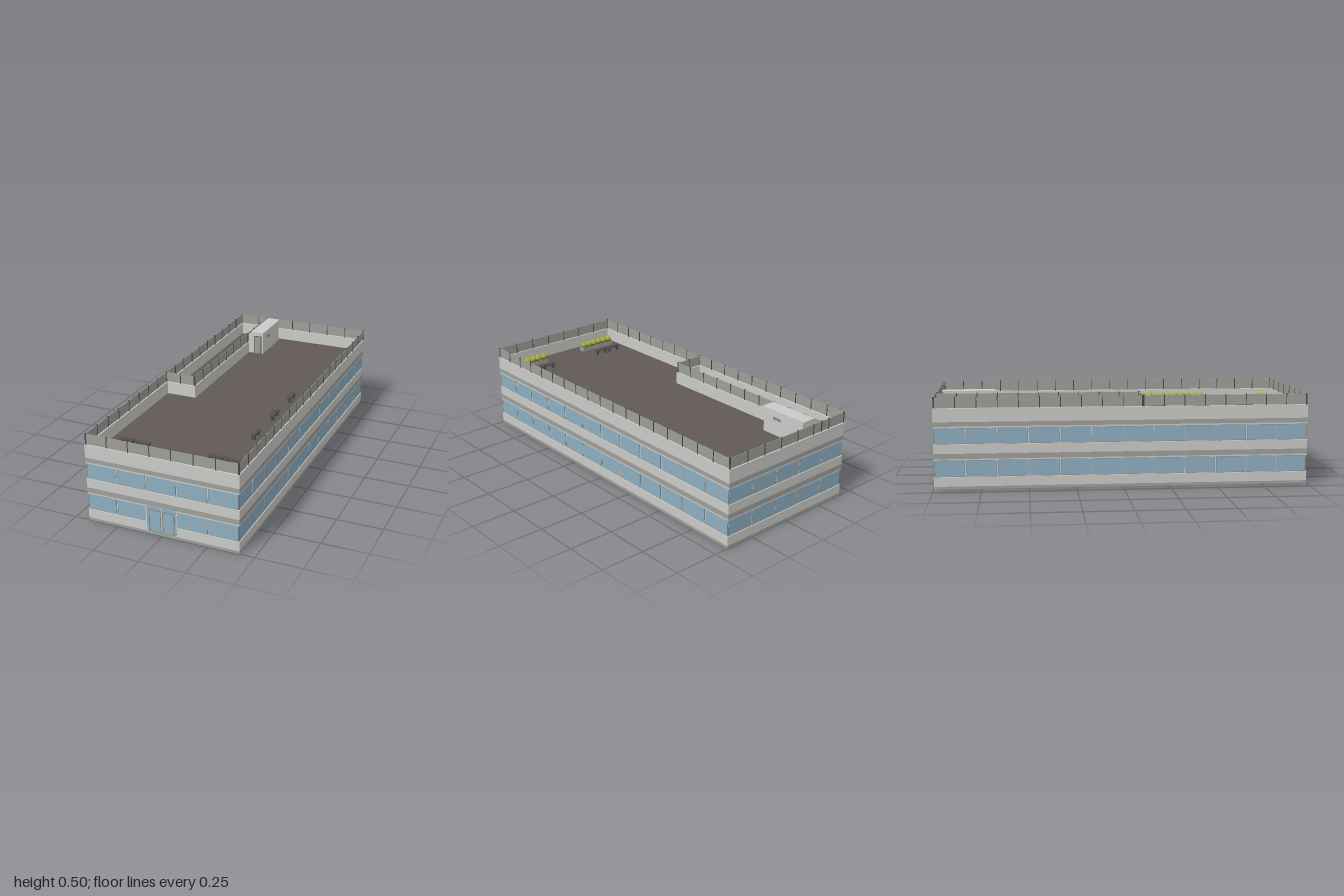
import * as THREE from 'three';

const mat = (name, color, extra = {}) => {
  const m = new THREE.MeshStandardMaterial({ color, ...extra });
  m.name = name;
  return m;
};

export function createModel() {
  const M = {
    wall: mat('light concrete', 0xcacac8),
    band: mat('grey band', 0x9f9f9b),
    glass: mat('blue glass', 0x8eaec0),
    frame: mat('window frame', 0x8c8a86),
    deck: mat('brown roof deck', 0x605955),
    rail: mat('railing panel', 0x9e9e98),
    post: mat('dark metal', 0x4c4a45),
    bench: mat('bench', 0x57514d),
    bush: mat('yellow green leaves', 0xa3ae38, { flatShading: true }),
    soil: mat('dark leaves', 0x5d6420),
  };
  const model = new THREE.Group();
  model.name = 'officeBuilding';

  // Box given by its limits
  const box = (parent, name, m, x0, x1, y0, y1, z0, z1) => {
    const mesh = new THREE.Mesh(new THREE.BoxGeometry(x1 - x0, y1 - y0, z1 - z0), m);
    mesh.position.set((x0 + x1) / 2, (y0 + y1) / 2, (z0 + z1) / 2);
    mesh.name = name;
    parent.add(mesh);
    return mesh;
  };
  const group = (name, parent = model) => {
    const g = new THREE.Group();
    g.name = name;
    parent.add(g);
    return g;
  };

  const W = 0.42, D = 1, DECK = 0.36, TOP = 0.43, T = 0.013;

  // Storey layers: [name, material, bottom, top, inset]
  const body = group('body');
  [
    ['plinth', M.band, 0, 0.015, 0],
    ['lowerWall', M.wall, 0.015, 0.065, 0],
    ['lowerWindowWall', M.wall, 0.065, 0.155, 0.006],
    ['lowerLintel', M.wall, 0.155, 0.162, 0],
    ['lowerBand', M.band, 0.162, 0.19, 0],
    ['upperWall', M.wall, 0.19, 0.24, 0],
    ['upperWindowWall', M.wall, 0.24, 0.326, 0.006],
    ['upperLintel', M.wall, 0.326, 0.334, 0],
    ['upperBand', M.band, 0.334, DECK - 0.002, 0],
  ].forEach(([n, m, y0, y1, i]) => box(body, n, m, -W + i, W - i, y0, y1, -D + i, D - i));
  box(model, 'roofDeck', M.deck, -W + T, W - T, DECK - 0.002, DECK, -D + T, D - T);

  // Parapet
  const parapet = group('parapet');
  for (const s of [-1, 1]) {
    const x = s * (W - T / 2), z = s * (D - T / 2);
    box(parapet, 'sideParapet', M.wall, x - T / 2, x + T / 2, DECK - 0.002, TOP, -D, D);
    box(parapet, 'endParapet', M.wall, -W + T, W - T, DECK - 0.002, TOP, z - T / 2, z + T / 2);
  }

  // Rows of framed windows on each facade
  const windowRow = (g, half, depth, count, y0, y1, skip) => {
    const step = (2 * half) / count;
    for (let i = 0; i < count; i++) {
      if (i === skip) continue;
      const a = -half + i * step + (i ? 0.003 : 0.006);
      const b = -half + (i + 1) * step - (i < count - 1 ? 0.003 : 0.006);
      box(g, 'windowFrame', M.frame, a, b, y0, y1, depth - 0.006, depth - 0.004);
      box(g, 'windowGlass', M.glass, a + 0.0025, b - 0.0025, y0 + 0.002, y1 - 0.002, depth - 0.006, depth - 0.003);
    }
  };
  [['front', W, D, 5, 0, 2], ['back', W, D, 5, Math.PI, -1],
    ['left', D, W, 12, Math.PI / 2, -1], ['right', D, W, 12, -Math.PI / 2, -1],
  ].forEach(([n, half, depth, count, turn, skip]) => {
    const g = group(n + 'Windows');
    windowRow(g, half, depth, count, 0.066, 0.154, skip);
    windowRow(g, half, depth, count, 0.241, 0.325, -1);
    g.rotation.y = turn;
  });

  // Double entrance door
  const door = group('entrance');
  box(door, 'entranceSurround', M.wall, -0.088, 0.088, 0.015, 0.16, D - 0.008, D + 0.0005);
  for (const s of [-1, 1]) {
    const pane = (name, m, a, b, y0, y1, z) =>
      box(door, name, m, Math.min(s * a, s * b), Math.max(s * a, s * b), y0, y1, D - 0.001, D + z);
    pane('entranceGlass', M.glass, 0.003, 0.082, 0.022, 0.161, 0.001);
    pane('doorStile', M.frame, 0.004, 0.008, 0.018, 0.143, 0.003);
    pane('doorStile', M.frame, 0.066, 0.071, 0.018, 0.143, 0.003);
    pane('doorRail', M.frame, 0.008, 0.066, 0.138, 0.143, 0.003);
    pane('doorRail', M.frame, 0.008, 0.066, 0.018, 0.022, 0.003);
  }

  // Panel railing with posts, running between two points on top of a wall
  const railing = (name, x0, z0, x1, z1, count) => {
    const g = group(name);
    const len = Math.hypot(x1 - x0, z1 - z0);
    box(g, 'railPanel', M.rail, 0, len, TOP + 0.002, 0.488, -0.0015, 0.0015);
    for (let i = 0; i <= count; i++) {
      const x = (i * len) / count;
      box(g, 'railPost', M.post, x - 0.002, x + 0.002, TOP - 0.002, 0.491, -0.004, 0.004);
    }
    g.position.set(x0, 0, z0);
    g.rotation.y = -Math.atan2(z1 - z0, x1 - x0);
  };
  const rx = 0.414, rz = 0.993;
  railing('frontRailing', -rx, rz, rx, rz, 7);
  railing('backRailing', -rx, -rz, rx, -rz, 7);
  railing('leftRailing', rx, -rz, rx, rz, 18);
  railing('rightRailing', -rx, -rz, -rx, rz, 18);

  // Walled terrace along the right rear
  const terrace = group('terraceWalls');
  box(terrace, 'terraceSideWall', M.wall, -0.247, -0.234, DECK, TOP, -D + T, 0.11);
  box(terrace, 'terraceEndWall', M.wall, -W + T, -0.247, DECK, TOP, 0.097, 0.11);
  railing('terraceSideRailing', -0.24, -rz, -0.24, 0.104, 10);
  railing('terraceEndRailing', -rx, 0.104, -0.24, 0.104, 2);

  // Stair housing on the roof
  const house = group('stairHousing');
  box(house, 'housingWalls', M.wall, -0.215, -0.142, DECK, 0.491, -0.955, -0.685);
  box(house, 'housingRoof', M.wall, -0.218, -0.137, 0.491, 0.5, -0.962, -0.676);
  box(house, 'housingDoorFrame', M.post, -0.203, -0.152, DECK, 0.472, -0.686, -0.683);
  box(house, 'housingDoor', M.rail, -0.199, -0.156, DECK, 0.468, -0.686, -0.682);
  box(house, 'housingVent', M.frame, -0.143, -0.1405, 0.445, 0.46, -0.8, -0.75);
  box(house, 'housingSideWall', M.wall, -0.234, -0.215, DECK, 0.485, -0.69, -0.68);

  // Benches: seat on two legs
  const bench = (x, z, turn) => {
    const g = group('bench');
    box(g, 'benchSeat', M.bench, -0.041, 0.041, 0.026, 0.034, -0.012, 0.012);
    for (const s of [-1, 1]) box(g, 'benchLeg', M.post, s * 0.03 - 0.004, s * 0.03 + 0.004, 0, 0.026, -0.01, 0.01);
    g.position.set(x, DECK, z);
    g.rotation.y = turn;
  };
  [-0.07, 0.19, 0.455].forEach((z) => bench(0.28, z, Math.PI / 2));
  [-0.295, -0.203, 0.203, 0.295].forEach((x) => bench(x, 0.79, 0));

  // Planters filled with a row of bushes
  const leaf = new THREE.IcosahedronGeometry(0.021, 1);
  const planter = (x, z, len, count, turn) => {
    const g = group('planter');
    box(g, 'planterBox', M.band, -len / 2, len / 2, 0, 0.026, -0.02, 0.02);
    box(g, 'planterFill', M.soil, -len / 2 + 0.003, len / 2 - 0.003, 0.026, 0.032, -0.018, 0.018);
    for (let i = 0; i < count; i++) {
      const b = new THREE.Mesh(leaf, M.bush);
      b.name = 'bush';
      b.position.set(((i + 0.5) / count - 0.5) * len, 0.036, 0);
      b.rotation.set(i * 1.3, i * 2.1, i * 0.7);
      b.scale.setScalar(0.93 + 0.07 * Math.sin(i * 2.4));
      g.add(b);
    }
    g.position.set(x, DECK, z);
    g.rotation.y = turn;
  };
  planter(0.37, 0.2, 0.74, 19, Math.PI / 2);
  planter(-0.253, 0.91, 0.23, 6, 0);
  planter(0.253, 0.91, 0.23, 6, 0);

  return model;
}
